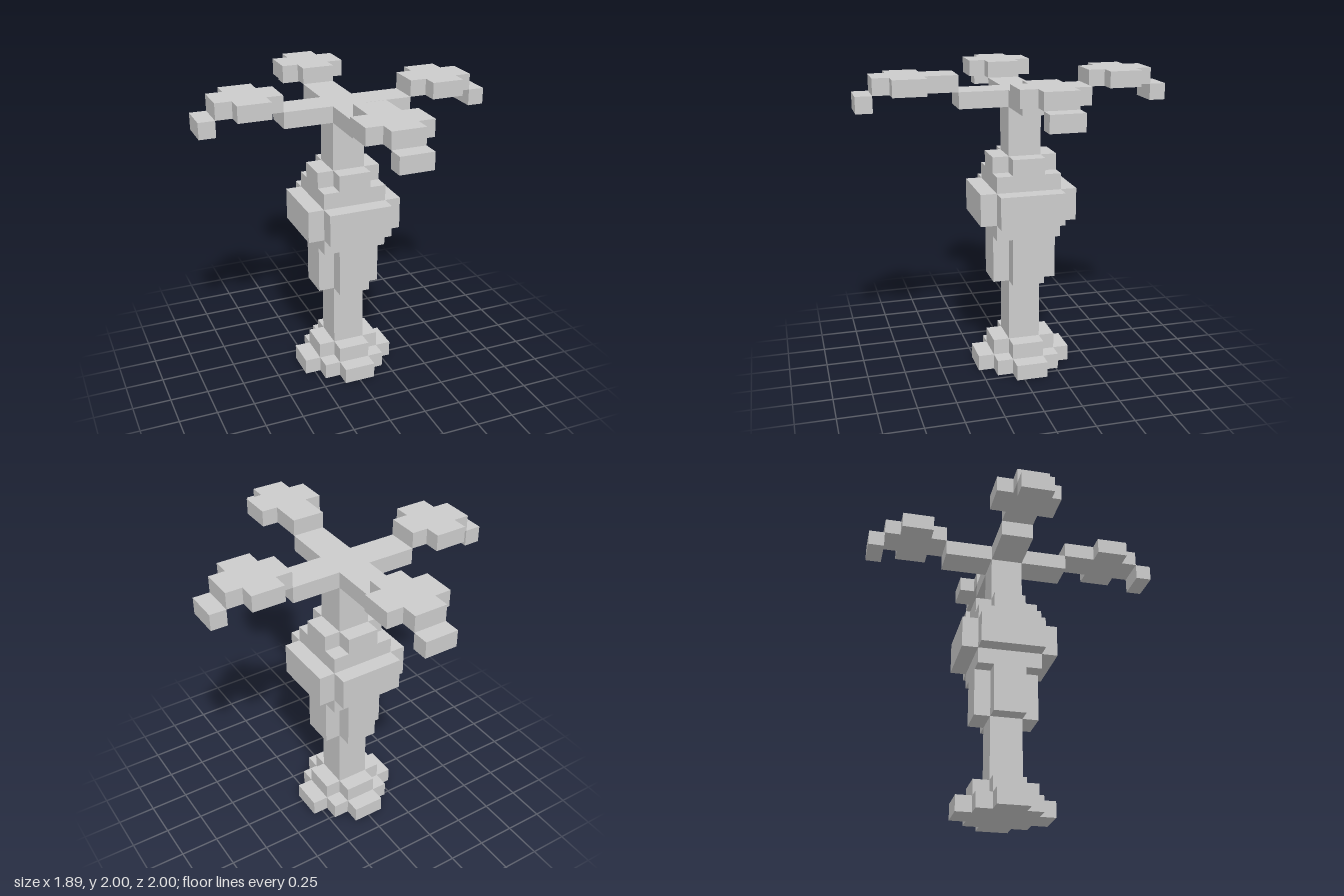
import * as THREE from 'three';

const U = 2 / 19; // one voxel
const material = new THREE.MeshStandardMaterial({ color: 0xcccccc, flatShading: true });

// Extrude a plan outline (voxel units, x and z) between two heights
function slab(name, outline, y0, y1) {
  const shape = new THREE.Shape(outline.map(([x, z]) => new THREE.Vector2(x * U, -z * U)));
  const geo = new THREE.ExtrudeGeometry(shape, { depth: (y1 - y0) * U, bevelEnabled: false });
  geo.rotateX(-Math.PI / 2).translate(0, y0 * U, 0);
  const mesh = new THREE.Mesh(geo, material);
  mesh.name = name;
  return mesh;
}

const square = (r) => [[r, r], [r, -r], [-r, -r], [-r, r]];

// Plus-shaped outline: mirrored corners stepping from (long, short) to (short, long)
function plus(long, short, mid) {
  const quarter = mid
    ? [[long, short], [mid, short], [mid, mid], [short, mid], [short, long]]
    : [[long, short], [short, short], [short, long]];
  const points = [];
  for (let i = 0; i < 4; i++) {
    const c = [1, 0, -1, 0][i], s = [0, 1, 0, -1][i];
    quarter.forEach(([x, z]) => points.push([x * c - z * s, x * s + z * c]));
  }
  return points;
}

// Leaf pad running along +z, with a wider middle
function leafOutline(start, wide0, wide1, end) {
  const side = [[1, start], [1, wide0], [2, wide0], [2, wide1], [1, wide1], [1, end]];
  return [...side, ...side.map(([x, z]) => [-x, z]).reverse()];
}

export function createModel() {
  const model = new THREE.Group();
  model.name = 'palmTree';

  // Stepped foot, trunk and bulge, from the ground up
  model.add(
    slab('footLower', plus(3, 1, 2), 0, 1),
    slab('footUpper', plus(2, 1), 1, 2),
    slab('trunkLower', square(1), 2, 6),
    slab('bulgeStem', plus(2, 1), 6, 9),
    slab('bulgeUnderside', square(2), 9, 10),
    slab('bulgeBand', plus(3, 2), 10, 12),
    slab('bulgeShoulder', square(2), 12, 13),
    slab('bulgeCap', plus(2, 1), 13, 14),
    slab('trunkUpper', square(1), 14, 17),
    slab('crownArms', plus(4, 1), 17, 18),
  );

  // Four fronds: raised leaf pad and drooping tip; the front one is a voxel longer
  ['front', 'left', 'back', 'right'].forEach((side, i) => {
    const extra = i === 0 ? 1 : 0;
    const frond = new THREE.Group();
    frond.name = side + 'Frond';
    const end = 8 + extra;
    frond.add(
      slab('leafPad', leafOutline(4, 5 + extra, 7 + extra, end), 18, 19),
      slab('leafTip', [[1, end], [1, end + 1], [-1, end + 1], [-1, end]], 17, 18),
    );
    frond.rotation.y = i * Math.PI / 2;
    model.add(frond);
  });

  // Trunk axis sits half a voxel back
  model.children.forEach((part) => { part.position.z = -U / 2; });
  return model;
}
